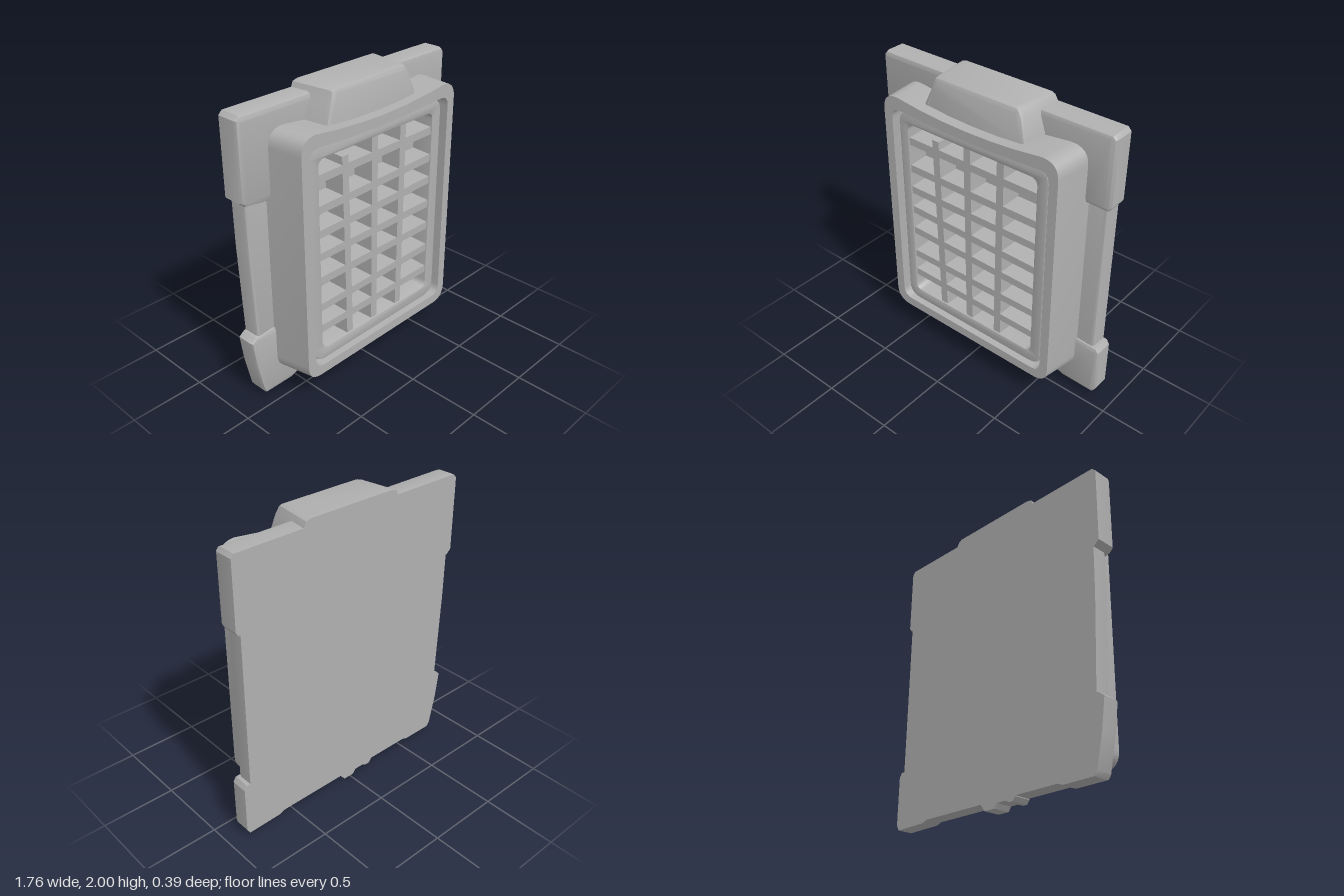
import * as THREE from 'three';
import { toCreasedNormals } from 'three/addons/utils/BufferGeometryUtils.js';

const BACK = -0.195;
const FRONT = 0.195;

export function createModel() {
  const model = new THREE.Group();
  model.name = 'framedGrille';
  const stone = new THREE.MeshStandardMaterial({ color: 0xb0b0b0 });
  stone.name = 'plain grey';

  function add(name, geometry, parent = model) {
    const mesh = new THREE.Mesh(toCreasedNormals(geometry, 0.5), stone);
    mesh.name = name;
    parent.add(mesh);
    return mesh;
  }

  // Move every vertex by a rule
  function reshape(geometry, rule) {
    const p = geometry.attributes.position;
    const v = new THREE.Vector3();
    for (let i = 0; i < p.count; i++) {
      v.fromBufferAttribute(p, i);
      rule(v);
      p.setXYZ(i, v.x, v.y, v.z);
    }
    return geometry;
  }

  // Slab with a bevelled front edge and a flat back
  function slab(shape, z0, z1, bevel) {
    const g = new THREE.ExtrudeGeometry(shape, {
      depth: z1 - z0 - bevel, bevelEnabled: bevel > 0, bevelThickness: bevel,
      bevelSize: bevel, bevelOffset: -bevel, bevelSegments: 2, curveSegments: 6,
    });
    return reshape(g, (v) => { v.z = Math.max(v.z + z0, z0); });
  }

  const polygon = (pts) => new THREE.Shape(pts.map(([x, y]) => new THREE.Vector2(x, y)));

  // Rounded rectangle whose top edge sags in the middle
  function panel(x0, x1, y0, y1, r, sag, Type = THREE.Shape) {
    const s = new Type();
    s.moveTo(x0 + r, y0);
    s.lineTo(x1 - r, y0);
    s.quadraticCurveTo(x1, y0, x1, y0 + r);
    s.lineTo(x1, y1 - r);
    s.quadraticCurveTo(x1, y1, x1 - r, y1);
    s.quadraticCurveTo((x0 + x1) / 2, y1 - 2 * sag, x0 + r, y1);
    s.quadraticCurveTo(x0, y1, x0, y1 - r);
    s.lineTo(x0, y0 + r);
    s.quadraticCurveTo(x0, y0, x0 + r, y0);
    return s;
  }

  // Back plate with its thicker upper and lower bands
  add('backPlate', slab(polygon([
    [-0.81, 0.3], [0.835, 0.3], [0.835, 1.55], [-0.845, 1.55], [-0.84, 1.1],
  ]), BACK, -0.08, 0.02));
  add('upperBand', slab(polygon([
    [-0.85, 1.41], [-0.7, 1.39], [0.7, 1.47], [0.85, 1.465], [0.865, 1.49], [0.865, 1.93], [0.845, 1.955],
    [-0.86, 1.96], [-0.885, 1.935], [-0.885, 1.44],
  ]), BACK, -0.045, 0.03));
  add('lowerBand', slab(polygon([
    [-0.78, 0.03], [-0.56, 0.03], [-0.52, 0.045], [0.58, 0.045], [0.62, 0.03], [0.86, 0.025],
    [0.88, 0.06], [0.88, 0.38], [0.86, 0.41], [0.7, 0.42], [-0.7, 0.5], [-0.83, 0.49],
    [-0.87, 0.46], [-0.845, 0.27], [-0.8, 0.06],
  ]), BACK, -0.065, 0.025));

  // Small chips along the bottom edge
  add('bottomChip', slab(polygon([
    [-0.21, 0.1], [-0.2, 0.04], [-0.18, 0.015], [-0.15, 0.015], [-0.12, 0.03], [-0.05, 0.03],
    [-0.03, 0], [0.05, 0], [0.08, 0.035], [0.1, 0.1],
  ]), BACK, -0.075, 0.008));

  // Top block, narrowing to the front and leaning back
  add('topBlock', reshape(slab(polygon([
    [-0.45, 1.7], [0.45, 1.7], [0.425, 1.82], [0.385, 1.94], [0.355, 1.99], [0.33, 2],
    [-0.31, 2], [-0.345, 1.99], [-0.37, 1.93], [-0.42, 1.82],
  ]), BACK, 0.125, 0.03), (v) => {
    if (v.z > BACK + 0.01) {
      v.x *= 0.9;
      v.z -= 0.14 * Math.max(0, v.y - 1.8);
    }
  }));

  // Outer frame: only the outer walls flare towards the back
  const rim = panel(-0.65, 0.675, 0.19, 1.83, 0.11, 0.04);
  rim.holes.push(panel(-0.585, 0.615, 0.255, 1.745, 0.07, 0.02, THREE.Path));
  add('outerFrame', reshape(slab(rim, -0.12, FRONT, 0), (v) => {
    const t = (FRONT - v.z) / 0.3;
    if (v.x < -0.618 || v.x > 0.642 || v.y < 0.235 || v.y > 1.755) {
      v.x += (v.x - 0.0125) * 0.055 * t;
      if (v.y < 1) v.y -= 0.025 * t;
    }
  }));

  // Inner frame, set slightly back behind a narrow groove
  const inner = panel(-0.56, 0.59, 0.265, 1.73, 0.09, 0.012);
  inner.holes.push(panel(-0.49, 0.51, 0.345, 1.65, 0.05, 0, THREE.Path));
  add('innerFrame', slab(inner, -0.02, 0.16, 0.008));
  add('recessFloor', slab(panel(-0.64, 0.66, 0.21, 1.78, 0.09, 0.03), -0.12, 0.01, 0));

  // Grille bars, slightly wider at their roots and a little crooked
  const grille = new THREE.Group();
  grille.name = 'grille';
  model.add(grille);
  function bar(name, w, h, x, y, tilt) {
    const g = reshape(new THREE.BoxGeometry(w, h, 0.15), (v) => {
      if (v.z < 0) {
        v.x += Math.sign(v.x) * 0.006;
        v.y += Math.sign(v.y) * 0.006;
      }
    });
    const mesh = add(name, g, grille);
    mesh.position.set(x, y, 0.075);
    mesh.rotation.z = tilt;
  }
  [[-0.253, 1.27, 0.97, 0.025], [-0.013, 1.32, 1, 0.004], [0.233, 1.32, 1, -0.01]].forEach(
    ([x, h, y, tilt]) => bar('uprightBar', 0.052, h, x, y, tilt));
  [[1.525, 0], [1.33, 0.008], [1.17, 0.01], [1.005, -0.012], [0.838, -0.01], [0.655, 0.01], [0.488, -0.006]]
    .forEach(([y, tilt]) => bar('crossBar', 1.01, 0.052, 0.01, y, tilt));

  return model;
}
